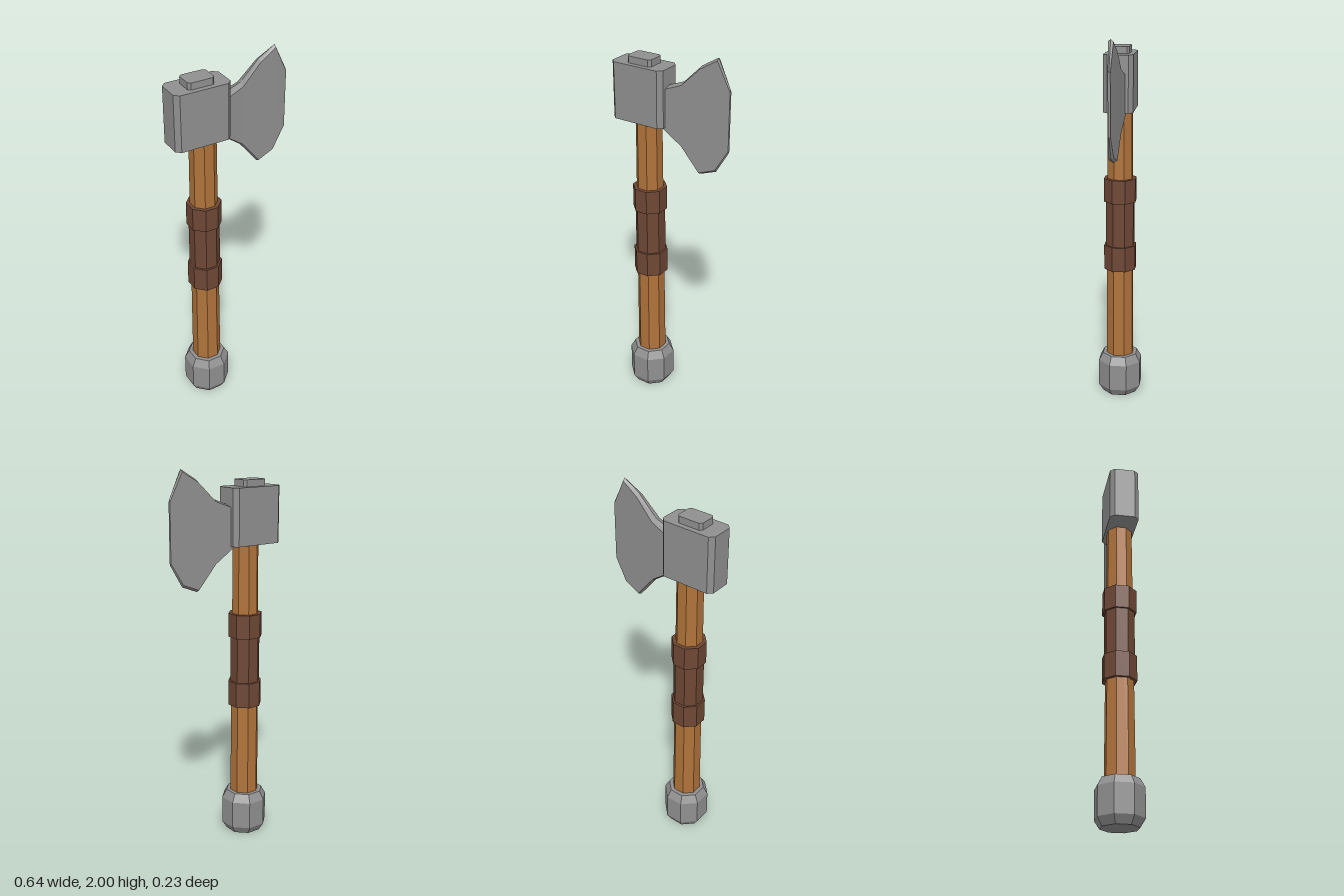
import * as THREE from 'three';

const AXIS_X = -0.146; // centre line of the handle

function material(name, color) {
  const m = new THREE.MeshStandardMaterial({ color });
  m.name = name;
  return m;
}

// Give every face its own flat normal
function faceted(geometry) {
  const g = geometry.index ? geometry.toNonIndexed() : geometry;
  g.computeVertexNormals();
  return g;
}

// Eight-sided turned part; profile is [half width across flats, y] from bottom to top
function octagonal(profile) {
  const points = profile.map(([w, y]) => new THREE.Vector2(w / Math.cos(Math.PI / 8), y));
  const g = new THREE.LatheGeometry(points, 8, Math.PI / 8);
  return faceted(g.translate(AXIS_X, 0, 0));
}

// Upright block with chamfered vertical corners
function chamferedBlock(x0, x1, halfDepth, chamfer, y0, y1) {
  const d = halfDepth, c = chamfer;
  const shape = new THREE.Shape([
    [x0 + c, -d], [x1 - c, -d], [x1, -d + c], [x1, d - c],
    [x1 - c, d], [x0 + c, d], [x0, d - c], [x0, -d + c],
  ].map(([x, y]) => new THREE.Vector2(x, y)));
  const g = new THREE.ExtrudeGeometry(shape, { depth: y1 - y0, bevelEnabled: false });
  return faceted(g.rotateX(-Math.PI / 2).translate(0, y0, 0));
}

// Tapering blade lofted through six-sided sections [x, bottom, top, half thickness]
function bladeGeometry(sections, bevel) {
  const rings = sections.map(([x, lo, hi, t]) => [
    [x, hi, 0], [x, hi - bevel, t], [x, lo + bevel, t],
    [x, lo, 0], [x, lo + bevel, -t], [x, hi - bevel, -t],
  ]);
  const positions = [];
  const tri = (a, b, c) => positions.push(...a, ...b, ...c);
  for (let s = 0; s < rings.length - 1; s++) {
    const a = rings[s], b = rings[s + 1];
    for (let i = 0; i < 6; i++) {
      const j = (i + 1) % 6;
      tri(a[i], a[j], b[i]);
      tri(b[i], a[j], b[j]);
    }
  }
  const first = rings[0], last = rings[rings.length - 1];
  for (let i = 1; i < 5; i++) {
    tri(first[0], first[i + 1], first[i]);
    tri(last[0], last[i], last[i + 1]);
  }
  const g = new THREE.BufferGeometry();
  g.setAttribute('position', new THREE.Float32BufferAttribute(positions, 3));
  return faceted(g);
}

export function createModel() {
  const metal = material('grey metal', 0x909090);
  const wood = material('wood', 0xb0733a);
  const leather = material('brown leather', 0x6e4735);

  const model = new THREE.Group();
  model.name = 'axe';
  const add = (name, geometry, mat) => {
    const mesh = new THREE.Mesh(geometry, mat);
    mesh.name = name;
    model.add(mesh);
  };

  // Handle and pommel
  add('handle', octagonal([[0, 0.2], [0.072, 0.2], [0.063, 1.65], [0, 1.65]]), wood);
  add('pommel', octagonal([
    [0, 0], [0.09, 0], [0.115, 0.042], [0.115, 0.19], [0.092, 0.234], [0, 0.234],
  ]), metal);

  // Leather grip with a thicker band at each end
  add('grip', octagonal([[0, 0.8], [0.074, 0.8], [0.074, 1.18], [0, 1.18]]), leather);
  [['lowerBand', 0.735, 0.87], ['upperBand', 1.115, 1.242]].forEach(([name, y0, y1]) =>
    add(name, octagonal([[0, y0], [0.084, y0], [0.084, y1], [0, y1]]), leather));

  // Head block and the cap on top
  add('head', chamferedBlock(-0.322, -0.022, 0.077, 0.023, 1.606, 1.9), metal);
  add('headCap', chamferedBlock(-0.24, -0.1, 0.051, 0.013, 1.88, 1.935), metal);

  // Blade
  add('blade', bladeGeometry([
    [-0.043, 1.59, 1.808, 0.04],
    [0.064, 1.513, 1.849, 0.029],
    [0.164, 1.39, 1.947, 0.021],
    [0.252, 1.424, 2.0, 0.013],
    [0.32, 1.538, 1.86, 0.006],
  ], 0.012), metal);

  return model;
}
